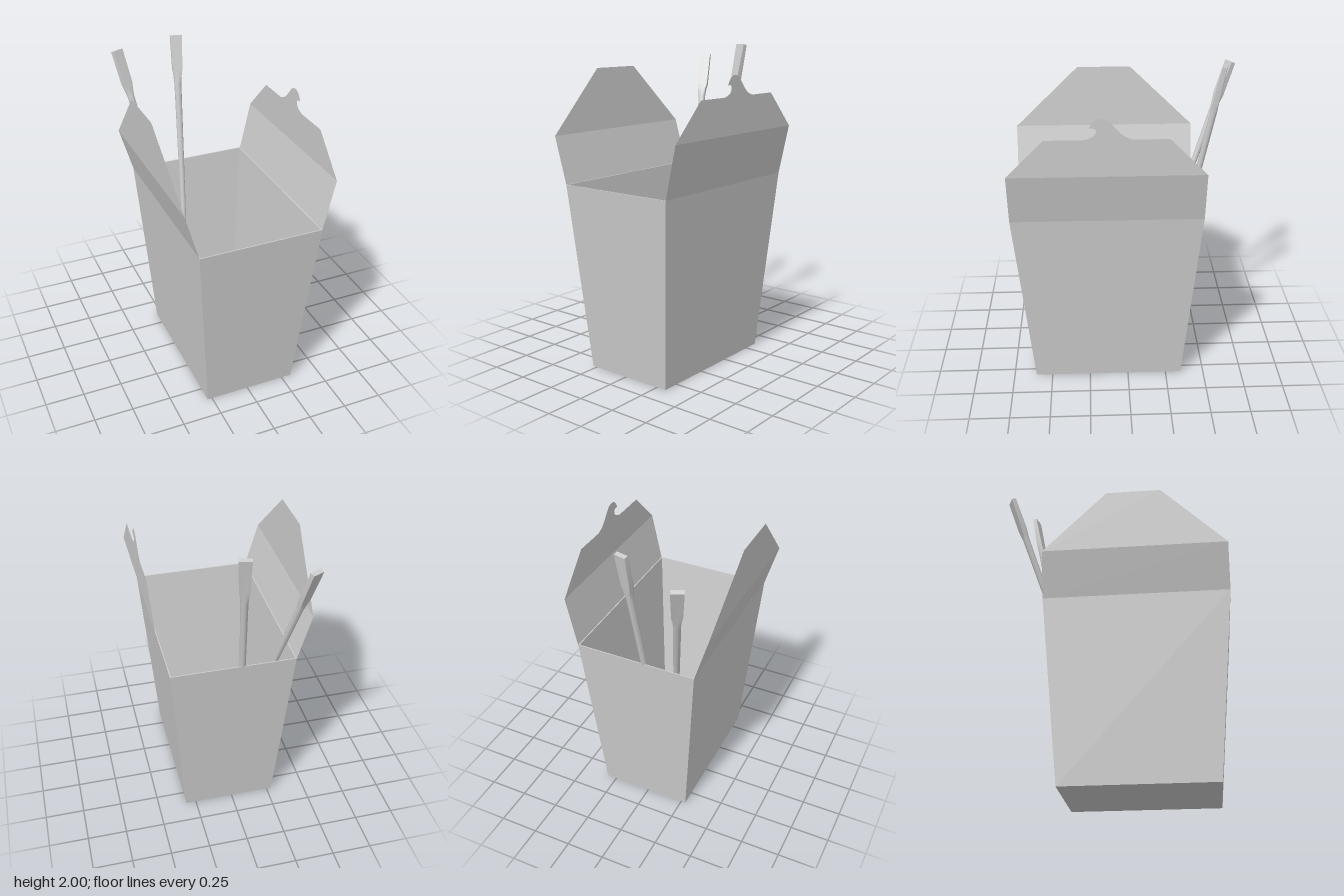
import * as THREE from 'three';
import { toCreasedNormals } from 'three/addons/utils/BufferGeometryUtils.js';

const paper = new THREE.MeshStandardMaterial({ color: 0xcccccc, flatShading: true, side: THREE.DoubleSide });
const wood = new THREE.MeshStandardMaterial({ color: 0xcccccc });

const BACK = -0.455, FRONT = 0.71, RIM = 1.18;

function addMesh(parent, name, geometry, material) {
  const mesh = new THREE.Mesh(geometry, material);
  mesh.name = name;
  parent.add(mesh);
}

// Skins a stack of equal-length point rings and closes both ends.
function loft(rings) {
  const n = rings[0].length, pos = [], idx = [];
  rings.forEach(r => r.forEach(p => pos.push(p.x, p.y, p.z)));
  for (let i = 0; i < rings.length - 1; i++) {
    for (let j = 0; j < n; j++) {
      const a = i * n + j, b = i * n + (j + 1) % n;
      idx.push(a, a + n, b, b, a + n, b + n);
    }
  }
  const last = (rings.length - 1) * n;
  for (let j = 1; j < n - 1; j++) {
    idx.push(0, j, j + 1, last, last + j + 1, last + j);
  }
  const g = new THREE.BufferGeometry();
  g.setAttribute('position', new THREE.Float32BufferAttribute(pos, 3));
  g.setIndex(idx);
  return toCreasedNormals(g, 0.6);
}

const rect = (x0, x1, z0, z1, y) =>
  [[x0, z0], [x1, z0], [x1, z1], [x0, z1]].map(([x, z]) => new THREE.Vector3(x, y, z));

// Thin panel drawn in (z, y), leaning in x from x0 at y0 to x1 at y1.
function panel(shape, y0, x0, y1, x1) {
  const g = new THREE.ShapeGeometry(shape, 10);
  const p = g.attributes.position;
  for (let i = 0; i < p.count; i++) {
    const z = p.getX(i), y = p.getY(i);
    p.setXYZ(i, x0 + (x1 - x0) * (y - y0) / (y1 - y0), y, z);
  }
  g.computeVertexNormals();
  return g;
}

const polygon = pts => new THREE.Shape(pts.map(([z, y]) => new THREE.Vector2(z, y)));

// Lower part of a flap, between the rim and the fold.
function foldPanel(xRim, yFold, xFold) {
  return panel(polygon([[BACK, RIM], [FRONT, RIM], [FRONT, yFold], [BACK, yFold]]), RIM, xRim, yFold, xFold);
}

// Chopstick: flat rectangular grip blending into a tapering round shaft.
function chopstick(top, tip) {
  const axis = tip.clone().sub(top);
  const length = axis.length();
  axis.normalize();
  const u = new THREE.Vector3().crossVectors(axis, new THREE.Vector3(0, 1, 0)).normalize();
  const v = new THREE.Vector3().crossVectors(axis, u);
  // distance, half width, half depth, squareness
  const sections = [
    [0, 0.038, 0.014, 1], [0.22, 0.032, 0.018, 1], [0.26, 0.027, 0.02, 0.5],
    [0.31, 0.023, 0.021, 0], [length, 0.011, 0.011, 0],
  ];
  const sides = 16;
  const rings = sections.map(([d, w, h, square]) => Array.from({ length: sides }, (_, i) => {
    const a = -i / sides * Math.PI * 2, c = Math.cos(a), s = Math.sin(a);
    const k = 1 + square * (1 / Math.max(Math.abs(c), Math.abs(s)) - 1);
    return top.clone().addScaledVector(axis, d).addScaledVector(u, c * k * w).addScaledVector(v, s * k * h);
  }));
  return loft(rings);
}

export function createModel() {
  const model = new THREE.Group();
  model.name = 'takeoutBox';

  // Tapered carton with an outer shell, thin rim and inner floor
  addMesh(model, 'carton', loft([
    rect(-0.28, 0.315, -0.35, 0.605, 0),
    rect(-0.37, 0.41, BACK, FRONT, RIM),
    rect(-0.363, 0.403, BACK + 0.007, FRONT - 0.007, RIM),
    rect(-0.264, 0.302, -0.303, 0.545, 0.02),
  ]), paper);

  // Plain flap on the right side
  const rightFlap = new THREE.Group();
  rightFlap.name = 'rightFlap';
  addMesh(rightFlap, 'rightFlapLower', foldPanel(-0.37, 1.47, -0.455), paper);
  addMesh(rightFlap, 'rightFlapUpper', panel(
    polygon([[BACK, 1.47], [FRONT, 1.47], [0.3, 1.86], [-0.045, 1.86]]),
    1.47, -0.455, 1.86, -0.485), paper);
  model.add(rightFlap);

  // Flap on the left side with a curled locking tab
  const leftFlap = new THREE.Group();
  leftFlap.name = 'leftFlap';
  addMesh(leftFlap, 'leftFlapLower', foldPanel(0.41, 1.495, 0.48), paper);
  const tab = polygon([[FRONT, 1.495], [BACK, 1.495], [-0.23, 1.72], [-0.02, 1.72]]);
  const curve = pts => tab.splineThru(pts.map(([z, y]) => new THREE.Vector2(z, y)));
  curve([[0.03, 1.742], [0.075, 1.785], [0.117, 1.831], [0.16, 1.846], [0.2, 1.83], [0.228, 1.788]]);
  curve([[0.2, 1.787], [0.187, 1.77], [0.2, 1.745], [0.23, 1.728], [0.26, 1.72]]);
  tab.lineTo(0.485, 1.72);
  addMesh(leftFlap, 'leftFlapUpper', panel(tab, 1.495, 0.48, 1.846, 0.482), paper);
  model.add(leftFlap);

  // Pair of chopsticks leaning out over the back edge
  addMesh(model, 'chopstickRight', chopstick(
    new THREE.Vector3(-0.368, 1.92, -0.685), new THREE.Vector3(-0.085, 0.22, -0.09)), wood);
  addMesh(model, 'chopstickLeft', chopstick(
    new THREE.Vector3(0.005, 1.997, -0.597), new THREE.Vector3(-0.09, 0.06, -0.22)), wood);

  return model;
}
